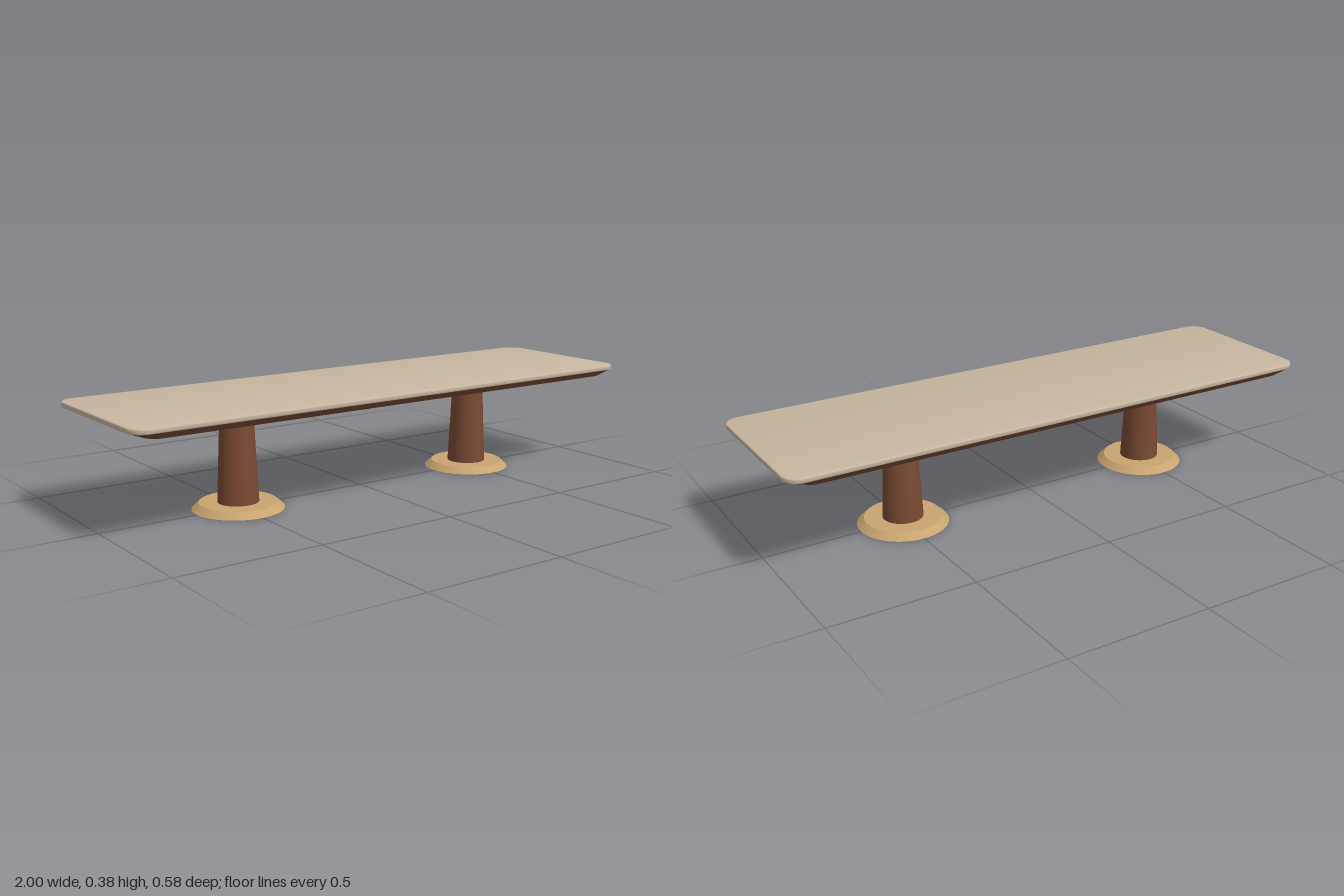
import * as THREE from 'three';
import { toCreasedNormals } from 'three/addons/utils/BufferGeometryUtils.js';

const HALF_X = 1, HALF_Z = 0.288, CORNER = 0.055;

const lightTop = new THREE.MeshStandardMaterial({ name: 'paleTop', color: 0xc8b6a0 });
const brown = new THREE.MeshStandardMaterial({ name: 'brownWood', color: 0x7a4a33 });
const tan = new THREE.MeshStandardMaterial({ name: 'tanTrim', color: 0xc8a46f });

// Rounded rectangle outline, shrunk by an inset
function outline(inset) {
  const x = HALF_X - inset, z = HALF_Z - inset, r = CORNER - inset;
  const s = new THREE.Shape();
  s.absarc(x - r, z - r, r, 0, Math.PI / 2);
  s.absarc(-x + r, z - r, r, Math.PI / 2, Math.PI);
  s.absarc(-x + r, -z + r, r, Math.PI, Math.PI * 1.5);
  s.absarc(x - r, -z + r, r, Math.PI * 1.5, Math.PI * 2);
  s.closePath();
  return s;
}

// Table slab with softly rounded edges
function slabGeometry(y0, y1) {
  const b = 0.004;
  const g = new THREE.ExtrudeGeometry(outline(b), {
    depth: y1 - y0 - 2 * b, bevelEnabled: true, bevelSize: b, bevelThickness: b,
    bevelSegments: 3, curveSegments: 10,
  });
  g.rotateX(-Math.PI / 2).translate(0, y0 + b, 0);
  return toCreasedNormals(g, 0.6);
}

// Underside panel that narrows towards its bottom face
function apronGeometry(y0, y1, bottomScale) {
  const g = new THREE.ExtrudeGeometry(outline(0.003), {
    depth: y1 - y0, bevelEnabled: false, curveSegments: 10,
  });
  g.rotateX(-Math.PI / 2).translate(0, y0, 0);
  const p = g.attributes.position;
  const mid = (y0 + y1) / 2;
  for (let i = 0; i < p.count; i++) {
    if (p.getY(i) < mid) {
      p.setX(i, p.getX(i) * bottomScale);
      p.setZ(i, p.getZ(i) * bottomScale);
    }
  }
  return toCreasedNormals(g, 0.6);
}

function part(name, geometry, material) {
  const mesh = new THREE.Mesh(geometry, material);
  mesh.name = name;
  return mesh;
}

// Round tapered piece between two heights
function taper(name, rTop, rBottom, y0, y1, material) {
  const g = new THREE.CylinderGeometry(rTop, rBottom, y1 - y0, 48);
  return part(name, g.translate(0, (y0 + y1) / 2, 0), material);
}

export function createModel() {
  const table = new THREE.Group();
  table.name = 'table';

  table.add(part('tabletop', slabGeometry(0.359, 0.377), lightTop));
  table.add(part('underside', apronGeometry(0.339, 0.36, 0.947), brown));

  // Two matching pedestals
  for (const side of [1, -1]) {
    const pedestal = new THREE.Group();
    pedestal.name = side > 0 ? 'leftPedestal' : 'rightPedestal';
    pedestal.position.x = side * 0.5;
    pedestal.add(
      taper('foot', 0.132, 0.156, 0, 0.022, tan),
      taper('column', 0.055, 0.07, 0.021, 0.336, brown),
      taper('collar', 0.085, 0.077, 0.333, 0.3395, tan),
    );
    table.add(pedestal);
  }
  return table;
}
